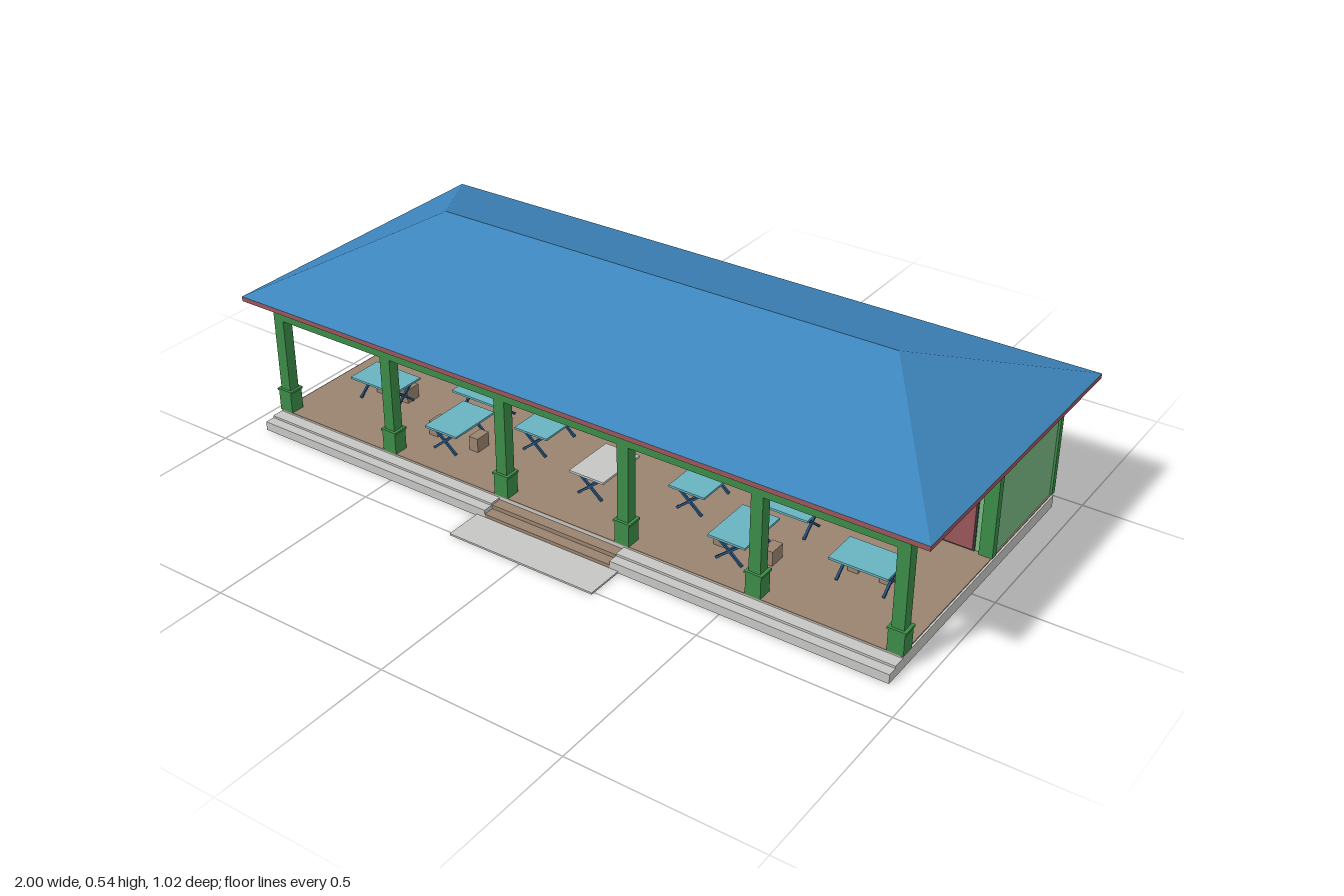
import * as THREE from 'three';

const paint = (name, color, side = THREE.FrontSide) => {
  const m = new THREE.MeshStandardMaterial({ color, side });
  m.name = name;
  return m;
};

export function createModel() {
  const blue = paint('roof blue', 0x3d85bd, THREE.DoubleSide);
  const wall = paint('wall green', 0x7ab883);
  const trim = paint('trim green', 0x3c8c48);
  const red = paint('dull red', 0x9a575a);
  const glass = paint('pane grey', 0xa3a5a8);
  const concrete = paint('concrete', 0xc6c7c4);
  const brown = paint('floor brown', 0x9a8470);
  const teal = paint('table teal', 0x68b2c0);
  const navy = paint('leg blue', 0x24527f);
  const dark = paint('frame dark', 0x3c4744);

  const model = new THREE.Group();
  model.name = 'pavilion';
  const group = (name) => {
    const g = new THREE.Group();
    g.name = name;
    model.add(g);
    return g;
  };
  // Box given by its limits on each axis
  const box = (parent, name, mat, x0, x1, y0, y1, z0, z1) => {
    const m = new THREE.Mesh(new THREE.BoxGeometry(x1 - x0, y1 - y0, z1 - z0), mat);
    m.position.set((x0 + x1) / 2, (y0 + y1) / 2, (z0 + z1) / 2);
    m.name = name;
    parent.add(m);
    return m;
  };

  // Slab with a stepped front edge, open in the middle for the stairs
  const base = group('base');
  box(base, 'slab', concrete, -0.94, 0.94, 0, 0.034, -0.45, 0.345);
  box(base, 'floor', brown, -0.935, 0.935, 0.034, 0.037, -0.445, 0.345);
  for (const [a, b] of [[-0.94, -0.19], [0.19, 0.94]]) {
    box(base, 'upperLedge', concrete, a, b, 0, 0.031, 0.345, 0.378);
    box(base, 'lowerLedge', concrete, a, b, 0, 0.025, 0.378, 0.405);
  }
  box(base, 'upperStep', brown, -0.19, 0.19, 0, 0.025, 0.345, 0.375);
  box(base, 'lowerStep', brown, -0.19, 0.19, 0, 0.014, 0.375, 0.405);
  box(base, 'entrancePad', concrete, -0.215, 0.215, 0, 0.005, 0.405, 0.51);

  // Hip roof, open underneath, with a fascia ring
  const roof = group('roof');
  const E = 0.374, R = 0.535, zr = -0.063;
  const fl = [-1, E, 0.385], fr = [1, E, 0.385], br = [1, E, -0.51], bl = [-1, E, -0.51];
  const rl = [-0.675, R, zr], rr = [0.675, R, zr];
  const faces = [fl, fr, rr, fl, rr, rl, br, bl, rl, br, rl, rr, fr, br, rr, bl, fl, rl];
  const hip = new THREE.BufferGeometry();
  hip.setAttribute('position', new THREE.Float32BufferAttribute(faces.flat(), 3));
  hip.computeVertexNormals();
  const hipMesh = new THREE.Mesh(hip, blue);
  hipMesh.name = 'roofSlopes';
  roof.add(hipMesh);
  box(roof, 'frontFascia', red, -1, 1, 0.361, E, 0.375, 0.385);
  box(roof, 'backFascia', red, -1, 1, 0.361, E, -0.51, -0.5);
  box(roof, 'rightFascia', red, -1, -0.99, 0.361, E, -0.5, 0.375);
  box(roof, 'leftFascia', red, 0.99, 1, 0.361, E, -0.5, 0.375);

  // Rooms behind the porch
  const walls = group('walls');
  box(walls, 'frontWall', wall, -0.92, 0.92, 0.037, 0.361, -0.13, -0.115);
  box(walls, 'backWall', wall, -0.92, 0.92, 0.034, 0.361, -0.447, -0.432);
  box(walls, 'rightWall', wall, -0.932, -0.917, 0.034, 0.361, -0.447, -0.115);
  box(walls, 'leftWall', wall, 0.917, 0.932, 0.034, 0.361, -0.447, -0.115);
  box(walls, 'wallBeam', trim, -0.92, 0.92, 0.31, 0.362, -0.115, -0.107);

  // Porch columns and wall pilasters share one spacing
  const frame = group('frame');
  for (let i = 0; i < 6; i++) {
    const x = -0.92 + i * 0.368;
    box(frame, 'columnShaft', trim, x - 0.016, x + 0.016, 0.1, 0.31, 0.31, 0.341);
    box(frame, 'columnBase', trim, x - 0.021, x + 0.021, 0.037, 0.098, 0.305, 0.346);
    box(frame, 'columnCollar', trim, x - 0.024, x + 0.024, 0.095, 0.101, 0.303, 0.348);
    box(frame, 'frontPilaster', trim, x - 0.018, x + 0.018, 0.037, 0.362, -0.126, -0.105);
    box(frame, 'backPilaster', trim, x - 0.018, x + 0.018, 0.037, 0.362, -0.461, -0.444);
  }
  box(frame, 'frontBeam', trim, -0.936, 0.936, 0.31, 0.362, 0.31, 0.341);
  for (const s of [-1, 1]) {
    const side = box(frame, 'sideBeam', trim, -0.012, 0.012, 0.31, 0.362, -0.107, 0.312);
    side.position.x = s * 0.92;
    for (let i = 0; i < 6; i++) {
      const clip = box(frame, 'beamClip', concrete, -0.003, 0.003, 0.336, 0.344, 0.273 - i * 0.073, 0.278 - i * 0.073);
      clip.position.x = s * 0.934;
    }
  }

  // Framed opening: dark plate with panes in front; dir is +1 for front, -1 for back
  const openings = group('openings');
  const opening = (name, mat, x0, x1, y0, y1, dir, cols = 1, rows = 1) => {
    const z = dir > 0 ? -0.115 : -0.447;
    const plate = (n, m, a, b, c, d, t) =>
      box(openings, n, m, a, b, c, d, Math.min(z, z + dir * t), Math.max(z, z + dir * t));
    plate(name + 'Frame', dark, x0, x1, y0, y1, 0.004);
    const e = 0.004, w = (x1 - x0 - e) / cols, h = (y1 - y0 - e) / rows;
    for (let c = 0; c < cols; c++) for (let r = 0; r < rows; r++) {
      plate(name, mat, x0 + e + c * w, x0 + (c + 1) * w, y0 + e + r * h, y0 + (r + 1) * h, 0.007);
    }
  };
  const mirrored = (name, mat, x0, x1, y0, y1, cols, rows) => {
    opening(name, mat, x0, x1, y0, y1, 1, cols, rows);
    opening(name, mat, -x1, -x0, y0, y1, 1, cols, rows);
  };
  mirrored('redDoor', red, 0.805, 0.888, 0.037, 0.212);
  mirrored('shutter', glass, 0.595, 0.776, 0.107, 0.207);
  mirrored('servingWindow', concrete, 0.325, 0.513, 0.107, 0.207, 3, 2);
  mirrored('greenDoor', wall, 0.224, 0.295, 0.037, 0.212);
  opening('whiteDoor', concrete, -0.142, -0.034, 0.037, 0.202, 1);
  opening('wideDoor', glass, -0.014, 0.158, 0.037, 0.205, 1);
  box(openings, 'wallPanel', brown, -0.12, 0.14, 0.222, 0.26, -0.116, -0.112);
  for (const s of [-1, 1]) {
    const shelf = box(openings, 'servingShelf', dark, -0.1, 0.1, 0.102, 0.107, -0.115, -0.1);
    shelf.position.x = s * 0.419;
  }
  for (let i = -2; i <= 2; i++) {
    const x = i * 0.368;
    opening('backWindow', glass, x - 0.088, x + 0.088, 0.155, 0.272, -1, 2, 1);
  }

  // Trestle table: crossed legs at both ends of its length (local z)
  const table = (x, z, turned, top) => {
    const t = group('table');
    t.position.set(x, 0, z);
    if (turned) t.rotation.y = Math.PI / 2;
    box(t, 'tableTop', top, -0.052, 0.052, 0.1, 0.106, -0.078, 0.078);
    for (const end of [-0.062, 0.062]) {
      for (const s of [-1, 1]) {
        const leg = box(t, 'crossLeg', navy, -0.047, 0.047, -0.003, 0.003, -0.003, 0.003);
        leg.position.set(0, 0.069, end);
        leg.rotation.z = s * Math.atan2(0.06, 0.072);
      }
    }
    box(t, 'stretcher', navy, -0.003, 0.003, 0.066, 0.072, -0.062, 0.062);
  };
  const stool = (x, z) => {
    const s = group('stool');
    box(s, 'stoolBody', brown, x - 0.014, x + 0.014, 0.037, 0.077, z - 0.023, z + 0.023);
  };
  for (const s of [-1, 1]) {
    table(s * 0.74, 0.145, true, teal);
    table(s * 0.47, 0.045, true, teal);
    table(s * 0.435, 0.2, false, teal);
    table(s * 0.24, 0.075, false, teal);
    for (const dx of [-0.068, 0.068]) stool(s * 0.445 + dx, 0.195);
    for (const dx of [-0.042, 0.042]) stool(s * 0.735 + dx, 0.107);
  }
  table(0, 0.16, false, concrete);
  stool(-0.065, 0.107);

  return model;
}
